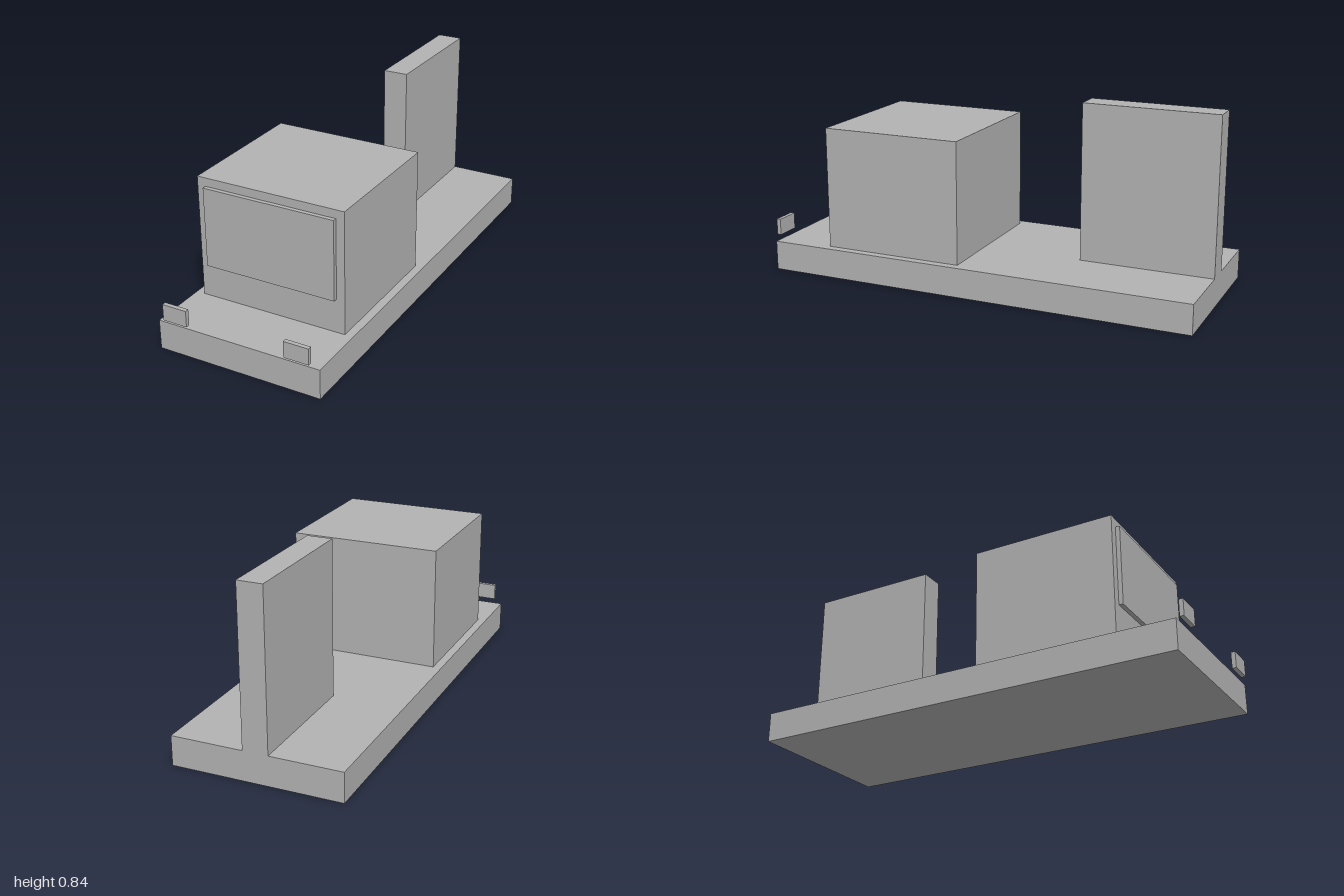
import * as THREE from 'three';

export function createModel() {
  const model = new THREE.Group();
  model.name = 'truck';

  const grey = new THREE.MeshStandardMaterial({ color: 0xb2b2b2 });
  grey.name = 'grey';

  // Box given by its extents along each axis
  function addBox(name, [x0, x1], [y0, y1], [z0, z1]) {
    const mesh = new THREE.Mesh(new THREE.BoxGeometry(x1 - x0, y1 - y0, z1 - z0), grey);
    mesh.position.set((x0 + x1) / 2, (y0 + y1) / 2, (z0 + z1) / 2);
    mesh.name = name;
    model.add(mesh);
  }

  const deck = 0.134; // top of the chassis

  // Long flat chassis
  addBox('chassis', [-0.381, 0.381], [0, deck], [-1, 0.981]);

  // Cab with a raised windscreen panel
  addBox('cab', [-0.343, 0.343], [deck, 0.686], [0.067, 0.714]);
  addBox('windscreen', [-0.305, 0.305], [0.288, 0.648], [0.714, 0.733]);

  // Upright panel along the middle of the rear deck
  addBox('rearPanel', [-0.057, 0.057], [deck, 0.84], [-1, -0.394]);

  // Headlights at the front corners
  addBox('leftHeadlight', [0.229, 0.343], [0.155, 0.229], [0.981, 1]);
  addBox('rightHeadlight', [-0.343, -0.229], [0.155, 0.229], [0.981, 1]);

  return model;
}
